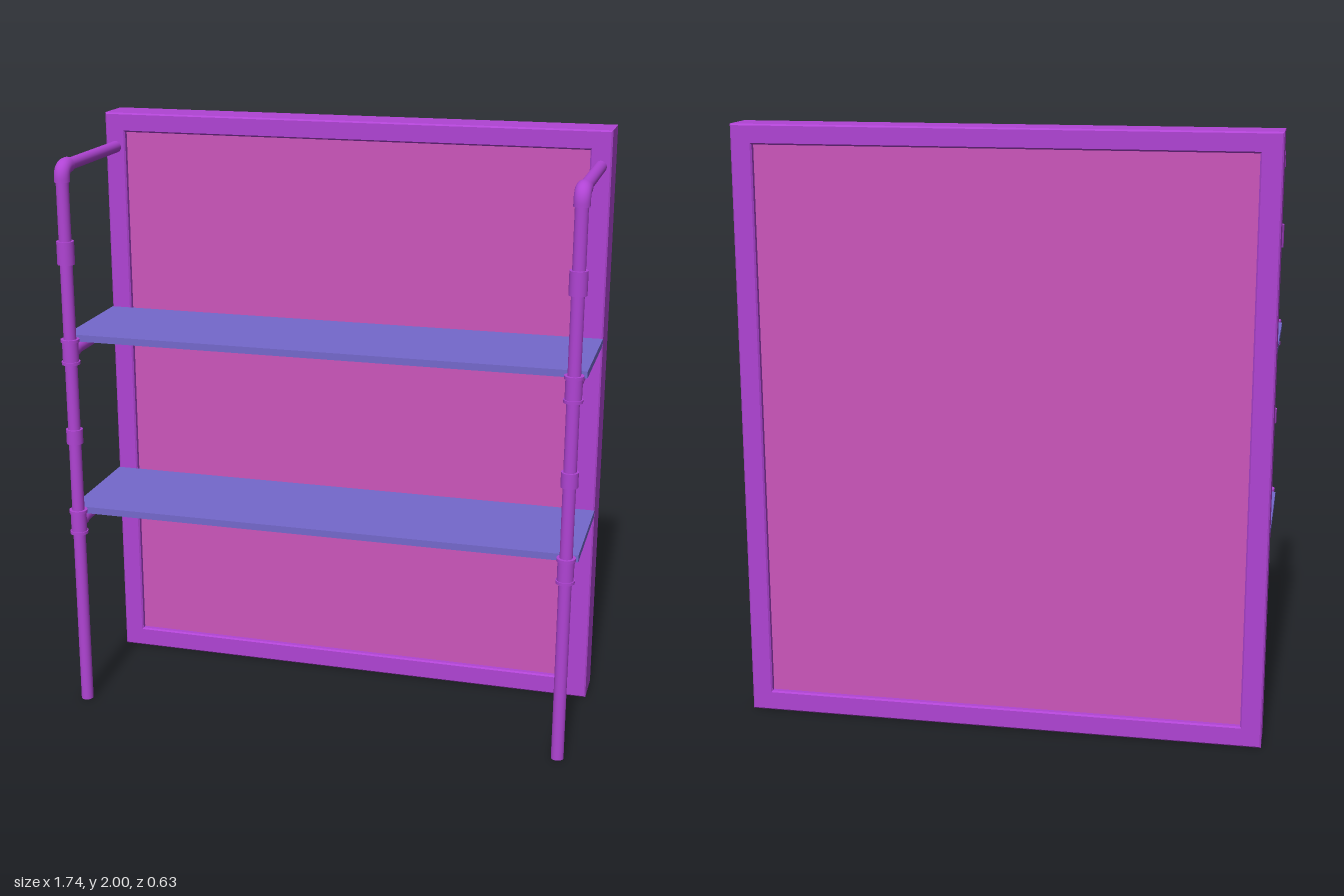
import * as THREE from 'three';

const purple = new THREE.MeshStandardMaterial({ color: 0xb044d4 });
const pink = new THREE.MeshStandardMaterial({ color: 0xcc55bb });
const blue = new THREE.MeshStandardMaterial({ color: 0x7468cc });

function add(parent, name, geometry, material, x = 0, y = 0, z = 0) {
  const mesh = new THREE.Mesh(geometry, material);
  mesh.name = name;
  mesh.position.set(x, y, z);
  parent.add(mesh);
  return mesh;
}

// Rectangle outline, usable as a shape or a hole
function rect(PathType, x, y0, y1) {
  const p = new PathType();
  p.moveTo(-x, y0);
  p.lineTo(x, y0);
  p.lineTo(x, y1);
  p.lineTo(-x, y1);
  p.closePath();
  return p;
}

// Upright cylinder between two heights
function upright(parent, name, r, y0, y1, z) {
  return add(parent, name, new THREE.CylinderGeometry(r, r, y1 - y0, 24), purple, 0, (y0 + y1) / 2, z);
}

// Cylinder running front to back
function rail(parent, name, r, y, z0, z1) {
  const mesh = add(parent, name, new THREE.CylinderGeometry(r, r, z1 - z0, 24), purple, 0, y, (z0 + z1) / 2);
  mesh.rotation.x = Math.PI / 2;
  return mesh;
}

const POLE_Z = 0.285;
const WALL_Z = -0.17;

// One pole with its elbow, couplings, tees and rails
function createPipeSide(name, x) {
  const side = new THREE.Group();
  side.name = name;
  side.position.x = x;

  upright(side, 'pole', 0.021, 0, 1.85, POLE_Z);
  rail(side, 'topRail', 0.02, 1.883, WALL_Z - 0.01, 0.25);

  // Elbow joining pole and top rail
  const bend = new THREE.CurvePath();
  const v = (y, z) => new THREE.Vector3(0, y, z);
  bend.add(new THREE.LineCurve3(v(1.835, POLE_Z), v(1.845, POLE_Z)));
  bend.add(new THREE.QuadraticBezierCurve3(v(1.845, POLE_Z), v(1.883, POLE_Z), v(1.883, 0.247)));
  bend.add(new THREE.LineCurve3(v(1.883, 0.247), v(1.883, 0.237)));
  add(side, 'elbow', new THREE.TubeGeometry(bend, 20, 0.026, 24), purple);
  upright(side, 'elbowLowerCap', 0.026, 1.835, 1.838, POLE_Z);
  rail(side, 'elbowRearCap', 0.026, 1.883, 0.237, 0.24);

  // Plain couplings
  upright(side, 'upperCoupling', 0.029, 1.565, 1.642, POLE_Z);
  upright(side, 'lowerCoupling', 0.028, 0.95, 1.0, POLE_Z);

  // Tees carrying the shelf rails
  for (const y of [1.27, 0.668]) {
    upright(side, 'tee', 0.027, y - 0.042, y + 0.042, POLE_Z);
    for (const s of [-1, 1]) {
      upright(side, 'teeCollar', 0.031, y + s * 0.038 - 0.005, y + s * 0.038 + 0.005, POLE_Z);
    }
    rail(side, 'teeBranch', 0.024, y, 0.25, POLE_Z);
    rail(side, 'shelfRail', 0.02, y, WALL_Z - 0.01, POLE_Z);
  }
  return side;
}

export function createModel() {
  const model = new THREE.Group();
  model.name = 'shelfRack';

  // Back frame with a slightly bevelled edge
  const b = 0.005;
  const shape = rect(THREE.Shape, 0.87 - b, b, 2 - b);
  shape.holes.push(rect(THREE.Path, 0.8 + b, 0.07 - b, 1.935 + b));
  const frame = new THREE.ExtrudeGeometry(shape, {
    depth: 0.148 - 2 * b, bevelEnabled: true, bevelSize: b, bevelThickness: b, bevelSegments: 1,
  });
  add(model, 'backFrame', frame, purple, 0, 0, -0.318 + b);

  // Panel set into the frame on both faces
  add(model, 'backPanel', new THREE.BoxGeometry(1.62, 1.88, 0.108), pink, 0, 1.0025, -0.244);

  // Shelves resting on the rails
  for (const [name, y, front] of [['upperShelf', 1.303, 0.236], ['lowerShelf', 0.697, 0.252]]) {
    const depth = front - WALL_Z;
    add(model, name, new THREE.BoxGeometry(1.74, 0.023, depth), blue, 0, y, WALL_Z + depth / 2);
  }

  model.add(createPipeSide('leftPipes', 0.835), createPipeSide('rightPipes', -0.835));
  return model;
}
